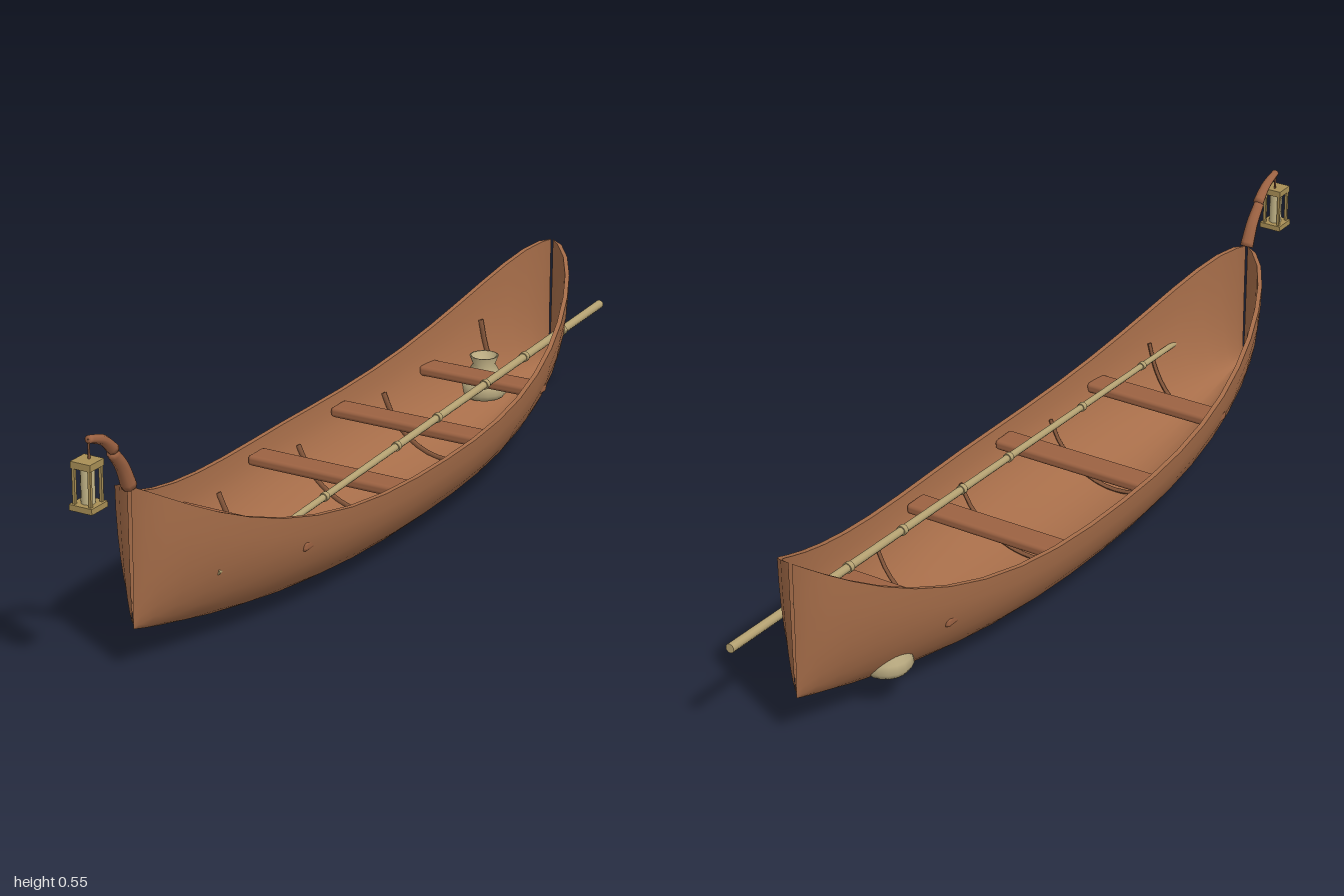
import * as THREE from 'three';
import { RoundedBoxGeometry } from 'three/addons/geometries/RoundedBoxGeometry.js';

const mat = (name, color) => Object.assign(new THREE.MeshStandardMaterial({ color }), { name });

// Hull measures at u = -1 (stern) .. 1 (bow)
const Z0 = -0.035, HALF = 0.875, WALL = 0.011;
const toU = (z) => THREE.MathUtils.clamp((z - Z0) / HALF, -1, 1);
const beam = (u) => Math.max(0.004, 0.21 * Math.sqrt(Math.max(0, 1 - u * u)));
const sheer = (u) => 0.2 + (u < 0 ? 0.215 : 0.2) * Math.abs(u) ** 2.9;
const keel = (u) => (u < 0 ? 0.11 : 0.1) * Math.abs(u) ** 2.5;

// Point on a half-elliptic cross-section; a runs -90..90 degrees, inset moves inward
function section(u, a, inset) {
  const w = Math.max(0.0025, beam(u) - inset);
  const top = sheer(u), bottom = keel(u) + inset;
  return new THREE.Vector3(w * Math.sin(a), top - (top - bottom) * Math.cos(a), Z0 + u * HALF);
}

// Grid surface from a point rule
function surface(rule, ni, nj, flip) {
  const pos = [], index = [];
  for (let i = 0; i <= ni; i++) {
    for (let j = 0; j <= nj; j++) pos.push(...rule(i / ni, j / nj).toArray());
  }
  for (let i = 0; i < ni; i++) {
    for (let j = 0; j < nj; j++) {
      const a = i * (nj + 1) + j, b = a + nj + 1;
      if (flip) index.push(a, a + 1, b, b, a + 1, b + 1);
      else index.push(a, b, a + 1, b, b + 1, a + 1);
    }
  }
  const g = new THREE.BufferGeometry();
  g.setAttribute('position', new THREE.Float32BufferAttribute(pos, 3));
  g.setIndex(index);
  g.computeVertexNormals();
  return g;
}

// Round tube along a curve whose radius tapers from r0 to r1, with closed ends
function taperedTube(points, r0, r1, sides = 8, steps = 10) {
  const curve = new THREE.CatmullRomCurve3(points);
  const frames = curve.computeFrenetFrames(steps);
  return surface((s, t) => {
    const k = Math.round(s * (steps + 2)) - 1;
    const i = THREE.MathUtils.clamp(k, 0, steps);
    const r = k < 0 || k > steps ? 0.0001 : r0 + (r1 - r0) * i / steps;
    const a = t * Math.PI * 2;
    return curve.getPointAt(i / steps)
      .addScaledVector(frames.normals[i], r * Math.cos(a))
      .addScaledVector(frames.binormals[i], r * Math.sin(a));
  }, steps + 2, sides, true);
}

export function createModel() {
  const model = new THREE.Group();
  model.name = 'canoe';
  const wood = mat('hull wood', 0xa66d49);
  const timber = mat('seat wood', 0x9c6242);
  const dark = mat('dark twig', 0x805338);
  const bamboo = mat('bamboo', 0xb5a272);
  const straw = mat('straw', 0xb9aa80);
  const brass = mat('brass', 0xa88f55);
  const glass = mat('lantern glass', 0xc6b88a);
  const add = (name, geometry, material, x = 0, y = 0, z = 0, parent = model) => {
    const m = new THREE.Mesh(geometry, material);
    m.name = name;
    m.position.set(x, y, z);
    parent.add(m);
    return m;
  };
  const V = (x, y, z) => new THREE.Vector3(x, y, z);

  // Hull shells, closer stations toward the pointed ends
  const along = (s) => -Math.cos(Math.PI * s);
  const angle = (t) => (t - 0.5) * Math.PI;
  add('hullOutside', surface((s, t) => section(along(s), angle(t), 0), 22, 17, true), wood);
  add('hullInside', surface((s, t) => section(along(s), angle(t), WALL), 22, 17, false), wood);
  for (const side of [-1, 1]) {
    const a = side * Math.PI / 2;
    add('gunwale', surface((s, t) =>
      section(along(s), a, (side > 0 ? 1 - t : t) * WALL), 22, 1, false), wood);
  }

  // Seats across the hull
  for (const [z, half] of [[-0.575, 0.152], [-0.24, 0.188], [0.1, 0.19], [0.44, 0.167]]) {
    add('seat', new RoundedBoxGeometry(half * 2, 0.024, 0.062, 2, 0.009), timber, 0, 0.172, z);
  }

  // Curved ribs lying against the inside of the hull
  for (const z of [-0.75, -0.41, -0.07, 0.27, 0.61]) {
    const pts = [];
    for (let i = 0; i <= 8; i++) pts.push(section(toU(z), (i / 8 - 0.5) * 2.5, WALL + 0.004));
    add('rib', taperedTube(pts, 0.006, 0.0045, 6, 18), dark);
  }

  // Bamboo pole with joint rings
  const tail = V(0.085, 0.243, -1), tip = V(0.098, 0.187, 0.69);
  const pole = new THREE.Group();
  pole.name = 'pole';
  pole.position.copy(tail);
  pole.quaternion.setFromUnitVectors(V(0, 1, 0), tip.clone().sub(tail).normalize());
  model.add(pole);
  const len = tip.distanceTo(tail);
  add('poleShaft', new THREE.CylinderGeometry(0.0065, 0.01, len, 10), bamboo, 0, len / 2, 0, pole);
  for (const d of [0.2, 0.39, 0.58, 0.8, 0.98, 1.28, 1.54]) {
    const r = 0.0125 - 0.0035 * d / len;
    add('poleJoint', new THREE.CylinderGeometry(r, r, 0.012, 10), bamboo, 0, d, 0, pole);
  }

  // Woven basket near the stern
  const profile = [[0, 0], [0.046, 0], [0.056, 0.014], [0.052, 0.032], [0.036, 0.06], [0.026, 0.078],
    [0.034, 0.098], [0.029, 0.098], [0.021, 0.08], [0, 0.078]];
  add('basket', new THREE.LatheGeometry(profile.map(([r, y]) => new THREE.Vector2(r, y)), 18),
    straw, -0.058, 0.085, -0.69);

  // Two-piece curved lantern arm on the bow
  add('armLower', taperedTube([V(0, 0.4, 0.84), V(0, 0.45, 0.863), V(0, 0.488, 0.893)], 0.016, 0.012), timber);
  add('armUpper', taperedTube([V(0, 0.492, 0.888), V(0, 0.522, 0.922), V(0, 0.539, 0.968)], 0.013, 0.008), timber);

  // Lantern
  const lantern = new THREE.Group();
  lantern.name = 'lantern';
  lantern.position.set(0, 0.402, 0.974);
  model.add(lantern);
  const part = (name, g, m, x, y, z) => add(name, g, m, x, y, z, lantern);
  part('lanternBase', new THREE.BoxGeometry(0.052, 0.012, 0.052), brass, 0, 0.006, 0);
  part('lanternTop', new THREE.BoxGeometry(0.045, 0.014, 0.045), brass, 0, 0.091, 0);
  part('lanternGlass', new THREE.CylinderGeometry(0.014, 0.014, 0.072, 12), glass, 0, 0.048, 0);
  for (const x of [-1, 1]) {
    for (const z of [-1, 1]) {
      part('lanternPost', new THREE.BoxGeometry(0.006, 0.074, 0.006), brass, x * 0.018, 0.048, z * 0.018);
    }
  }
  part('lanternHanger', new THREE.CylinderGeometry(0.0025, 0.0025, 0.04, 6), dark, 0, 0.117, -0.007);
  return model;
}
